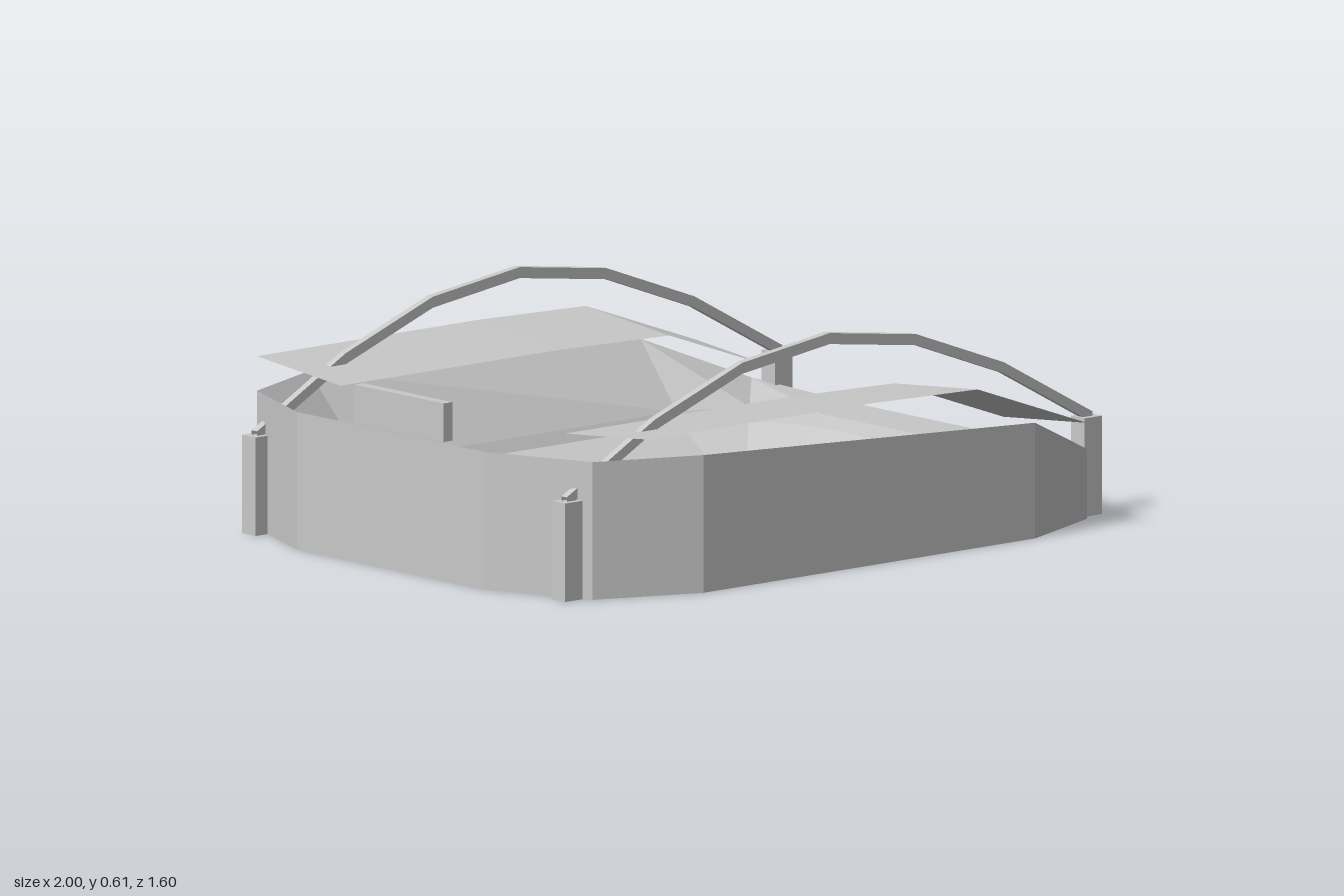
import * as THREE from 'three';

const concrete = new THREE.MeshStandardMaterial({ color: 0xc8c8c8, side: THREE.DoubleSide, flatShading: true });
concrete.name = 'concrete grey';

// Skin a list of equal-length cross-sections with flat facets
function loft(name, rows, closed) {
  const pos = [];
  for (let r = 0; r + 1 < rows.length; r++) {
    const a = rows[r], b = rows[r + 1], n = a.length;
    for (let i = 0; i < (closed ? n : n - 1); i++) {
      const j = (i + 1) % n;
      pos.push(...a[i], ...b[i], ...b[j], ...a[i], ...b[j], ...a[j]);
    }
  }
  const g = new THREE.BufferGeometry();
  g.setAttribute('position', new THREE.Float32BufferAttribute(pos, 3));
  g.computeVertexNormals();
  const m = new THREE.Mesh(g, concrete);
  m.name = name;
  return m;
}

function box(name, w, h, d, x, y, z) {
  const m = new THREE.Mesh(new THREE.BoxGeometry(w, h, d), concrete);
  m.position.set(x, y, z);
  m.name = name;
  return m;
}

// Twelve-sided ring mirrored from one corner; height is a function of x
function ring(corner, height) {
  const back = [...corner].reverse();
  return [
    ...corner,
    ...back.map(([x, z]) => [-x, z]),
    ...corner.map(([x, z]) => [-x, -z]),
    ...back.map(([x, z]) => [x, -z]),
  ].map(([x, z]) => [x, height(x), z]);
}

// Rim is high at one end and falls away towards the other
function rimHeight(x) {
  if (x <= -0.59) return 0.375;
  if (x <= 0.59) return 0.375 - (x + 0.59) / 1.18 * 0.06;
  return x < 0.95 ? 0.315 - (x - 0.59) / 0.29 * 0.125 : 0.145;
}

export function createModel() {
  const model = new THREE.Group();
  model.name = 'stadium';

  const outer = [[1, 0.38], [0.88, 0.68], [0.59, 0.8]];
  const stepTop = [[0.825, 0.33], [0.745, 0.535], [0.555, 0.615]];
  const stepFoot = [[0.808, 0.326], [0.73, 0.52], [0.55, 0.595]];
  const inner = [[0.56, 0.28], [0.545, 0.325], [0.49, 0.347]];
  const rim = ring(outer, rimHeight);
  const top = ring(stepTop, () => 0.148);
  const foot = ring(stepFoot, () => 0.115);

  // Bowl
  model.add(loft('outerWall', [ring(outer, () => 0), rim], true));
  model.add(loft('upperStand', [rim, top], true));
  model.add(loft('standRiser', [top, foot], true));
  model.add(loft('lowerStand', [foot, ring(inner, () => 0.015)], true));
  model.add(box('pitch', 1.1, 0.006, 0.63, -0.003, 0.003, -0.003));

  // Roofs, arches and pylons on both long sides
  const roofLine = [[-0.78, 0.44], [0, 0.44], [0.39, 0.43], [0.78, 0.29]];
  const archLine = [[-0.935, 0.265], [-0.62, 0.438], [-0.31, 0.553], [0, 0.595],
    [0.31, 0.553], [0.62, 0.438], [0.935, 0.265]];
  for (const s of [1, -1]) {
    const side = new THREE.Group();
    side.name = s > 0 ? 'frontCanopy' : 'backCanopy';
    const edges = [roofLine.map(([x, y]) => [x, y, s * 0.795]),
      roofLine.map(([x, y]) => [x, y - 0.032, s * 0.455])];
    side.add(loft('roof', s > 0 ? edges.reverse() : edges, false));
    if (s > 0) side.children[0].geometry.index = null;

    const z = s * 0.628, w = 0.011, h = 0.015;
    const sections = archLine.map(([x, y]) => [
      [x, y - h, z - w], [x, y - h, z + w], [x, y + h, z + w], [x, y + h, z - w]]);
    side.add(loft('arch', sections, true));
    for (const e of [1, -1]) side.add(box('pylon', 0.062, 0.268, 0.055, e * 0.924, 0.134, z));
    model.add(side);
  }

  model.add(box('scoreboard', 0.032, 0.105, 0.36, -0.955, 0.422, 0));
  return model;
}
